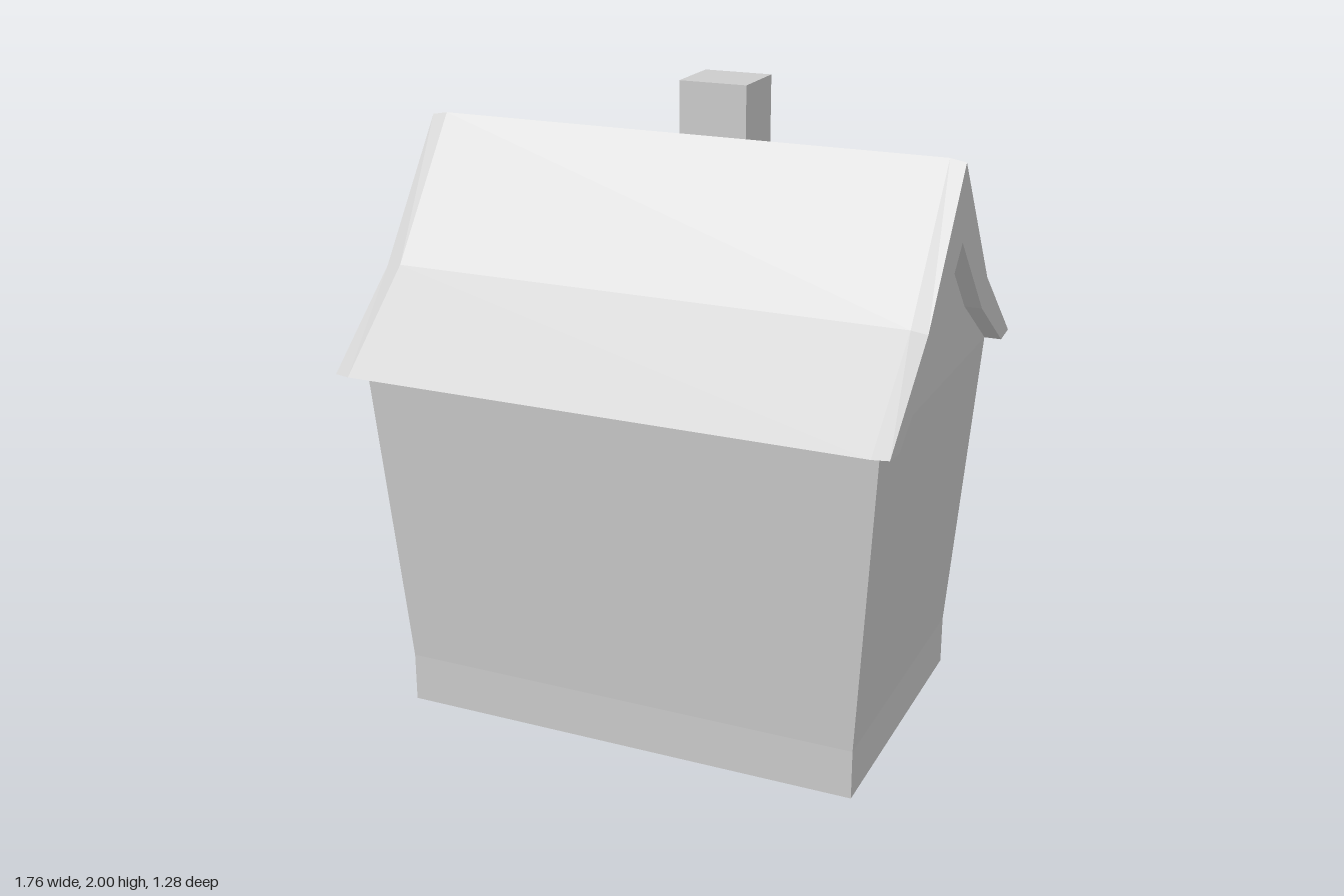
import * as THREE from 'three';

const material = new THREE.MeshStandardMaterial({ color: 0xcccccc, flatShading: true });

function addMesh(group, name, geometry) {
  const mesh = new THREE.Mesh(geometry, material);
  mesh.name = name;
  group.add(mesh);
}

// Flat-shaded geometry from quads with counter-clockwise corners
function fromQuads(quads) {
  const positions = [];
  for (const [a, b, c, d] of quads) positions.push(...a, ...b, ...c, ...a, ...c, ...d);
  const geometry = new THREE.BufferGeometry();
  geometry.setAttribute('position', new THREE.Float32BufferAttribute(positions, 3));
  geometry.computeVertexNormals();
  return geometry;
}

// Quads joining successive closed rings
function loft(rings) {
  const quads = [];
  for (let i = 0; i + 1 < rings.length; i++) {
    const r = rings[i], s = rings[i + 1], n = r.length;
    for (let j = 0; j < n; j++) {
      const k = (j + 1) % n;
      quads.push([r[j], r[k], s[k], s[j]]);
    }
  }
  return quads;
}

// Half profiles as [z, y], from ridge to eave
const outerHalf = [[0, 1.86], [0.32, 1.437], [0.642, 1.167]];
const innerHalf = [[0, 1.615], [0.27, 1.34], [0.545, 1.158]];
const mirror = (half) => [
  ...half.slice(1).reverse().map(([z, y]) => [-z, y]),
  ...half,
];

export function createModel() {
  const house = new THREE.Group();
  house.name = 'house';

  // Walls: straight plinth, then flaring out up to the eaves
  const rect = (x, y, z) => [[-x, y, z], [x, y, z], [x, y, -z], [-x, y, -z]];
  const rings = [rect(0.755, 0, 0.475), rect(0.755, 0.16, 0.475), rect(0.825, 1.158, 0.543)];
  addMesh(house, 'walls', fromQuads([...loft(rings), [...rings[0]].reverse()]));

  // Gable ends filling the space below the roof
  const gableShape = new THREE.Shape(mirror(innerHalf).map(([z, y]) => new THREE.Vector2(z, y)));
  for (const [name, side] of [['leftGable', 1], ['rightGable', -1]]) {
    const geometry = new THREE.ShapeGeometry(gableShape);
    geometry.rotateY(side * Math.PI / 2).translate(side * 0.825, 0, 0);
    addMesh(house, name, geometry);
  }

  // Roof: thick bent slab, drawn in slightly at both ends
  const outerAt = (x, end) => mirror(outerHalf).map(([z, y]) =>
    [x, end && y > 1.2 ? y - 0.009 : y, end ? z * 0.982 : z]);
  const innerAt = (x) => mirror(innerHalf).map(([z, y]) => [x, y, z]);
  const sections = [-0.88, -0.83, 0.83, 0.88].map((x) => ({
    outer: outerAt(x, Math.abs(x) > 0.85),
    inner: innerAt(x),
  }));
  const roofQuads = loft(sections.map(({ outer, inner }) => [...outer, ...[...inner].reverse()]));
  const first = sections[0], last = sections[3];
  for (let i = 0; i < 4; i++) {
    roofQuads.push([last.outer[i], last.outer[i + 1], last.inner[i + 1], last.inner[i]]);
    roofQuads.push([first.inner[i], first.inner[i + 1], first.outer[i + 1], first.outer[i]]);
  }
  addMesh(house, 'roof', fromQuads(roofQuads));

  // Chimney on the rear slope
  const chimney = new THREE.BoxGeometry(0.222, 0.6, 0.208);
  chimney.translate(0.047, 1.7, -0.212);
  addMesh(house, 'chimney', chimney);

  return house;
}
